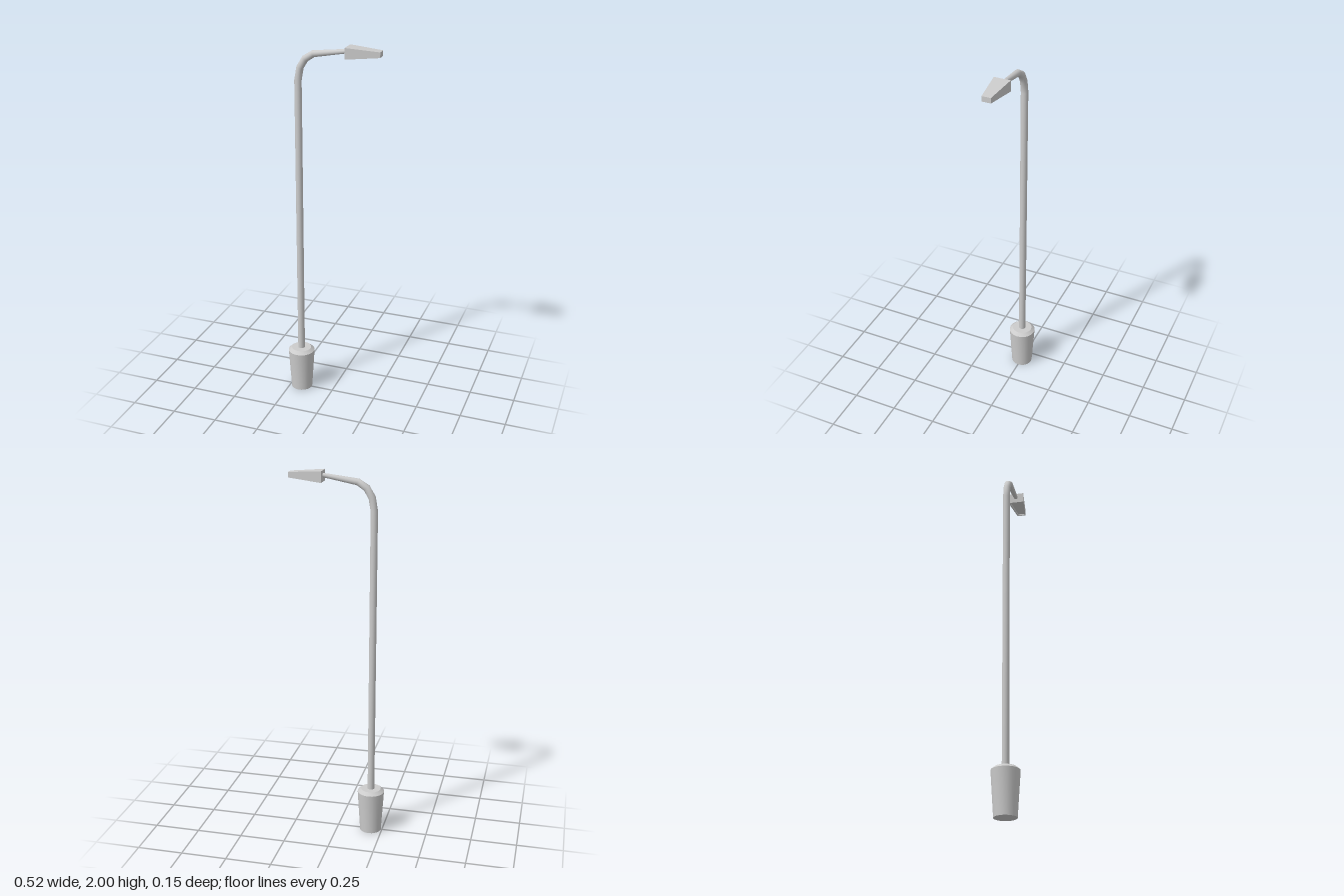
import * as THREE from 'three';
import { toCreasedNormals } from 'three/addons/utils/BufferGeometryUtils.js';

const POLE_X = -0.185;

function geometryFrom(positions, indices) {
  const g = new THREE.BufferGeometry();
  g.setAttribute('position', new THREE.Float32BufferAttribute(positions, 3));
  g.setIndex(indices);
  g.computeVertexNormals();
  return g;
}

// Tapering round tube through [x, y, radius, heading in degrees] stations in the xy plane
function taperedTube(stations, sides) {
  const pos = [], idx = [];
  stations.forEach(([x, y, r, deg], k) => {
    const a = THREE.MathUtils.degToRad(deg);
    for (let i = 0; i < sides; i++) {
      const t = (i / sides) * Math.PI * 2;
      const n = Math.cos(t) * r;
      pos.push(x - Math.sin(a) * n, y + Math.cos(a) * n, Math.sin(t) * r);
      if (k === 0) continue;
      const j = (i + 1) % sides, p = (k - 1) * sides, q = k * sides;
      idx.push(p + i, p + j, q + j, p + i, q + j, q + i);
    }
  });
  return geometryFrom(pos, idx);
}

// Wedge housing: four-cornered rings run from the roof, round the rim and up into the recess
function lampHead() {
  const rings = [
    // x back, x tip, half width back, half width tip, y back, y tip
    [0.08, 0.257, 0.044, 0.024, 2.0, 1.988],
    [0.08, 0.257, 0.044, 0.024, 1.942, 1.96],
    [0.088, 0.25, 0.036, 0.018, 1.943, 1.959],
    [0.088, 0.25, 0.036, 0.018, 1.955, 1.968],
  ];
  const pos = [], idx = [0, 1, 2, 0, 2, 3];
  rings.forEach(([x0, x1, z0, z1, y0, y1], k) => {
    pos.push(x0, y0, -z0, x0, y0, z0, x1, y1, z1, x1, y1, -z1);
    if (k === 0) return;
    const p = (k - 1) * 4, q = k * 4;
    for (let i = 0; i < 4; i++) {
      const j = (i + 1) % 4;
      idx.push(p + i, q + i, q + j, p + i, q + j, p + j);
    }
  });
  const f = (rings.length - 1) * 4;
  idx.push(f, f + 2, f + 1, f, f + 3, f + 2);
  return geometryFrom(pos, idx);
}

export function createModel() {
  const group = new THREE.Group();
  const smooth = new THREE.MeshStandardMaterial({ color: 0xcccccc });
  const flat = new THREE.MeshStandardMaterial({ color: 0xcccccc, flatShading: true });
  const add = (name, geometry, material) => {
    const mesh = new THREE.Mesh(geometry, material);
    mesh.name = name;
    group.add(mesh);
    return mesh;
  };

  // Flared base with a bevelled top
  const profile = [[0, 0], [0.059, 0], [0.074, 0.236], [0.055, 0.252], [0, 0.252]]
    .map(([x, y]) => new THREE.Vector2(x, y));
  add('base', toCreasedNormals(new THREE.LatheGeometry(profile, 20), 0.6), smooth)
    .position.x = POLE_X;

  // Pole bending into a thinner arm
  add('poleAndArm', taperedTube([
    [POLE_X, 0.24, 0.019, 90],
    [POLE_X, 1.805, 0.019, 86],
    [-0.173, 1.872, 0.019, 70],
    [-0.145, 1.919, 0.019, 48],
    [-0.1, 1.948, 0.018, 20],
    [0.085, 1.976, 0.011, 8],
  ], 16), smooth);

  // Lamp head with a recessed underside
  add('lampHead', lampHead(), flat);

  return group;
}
